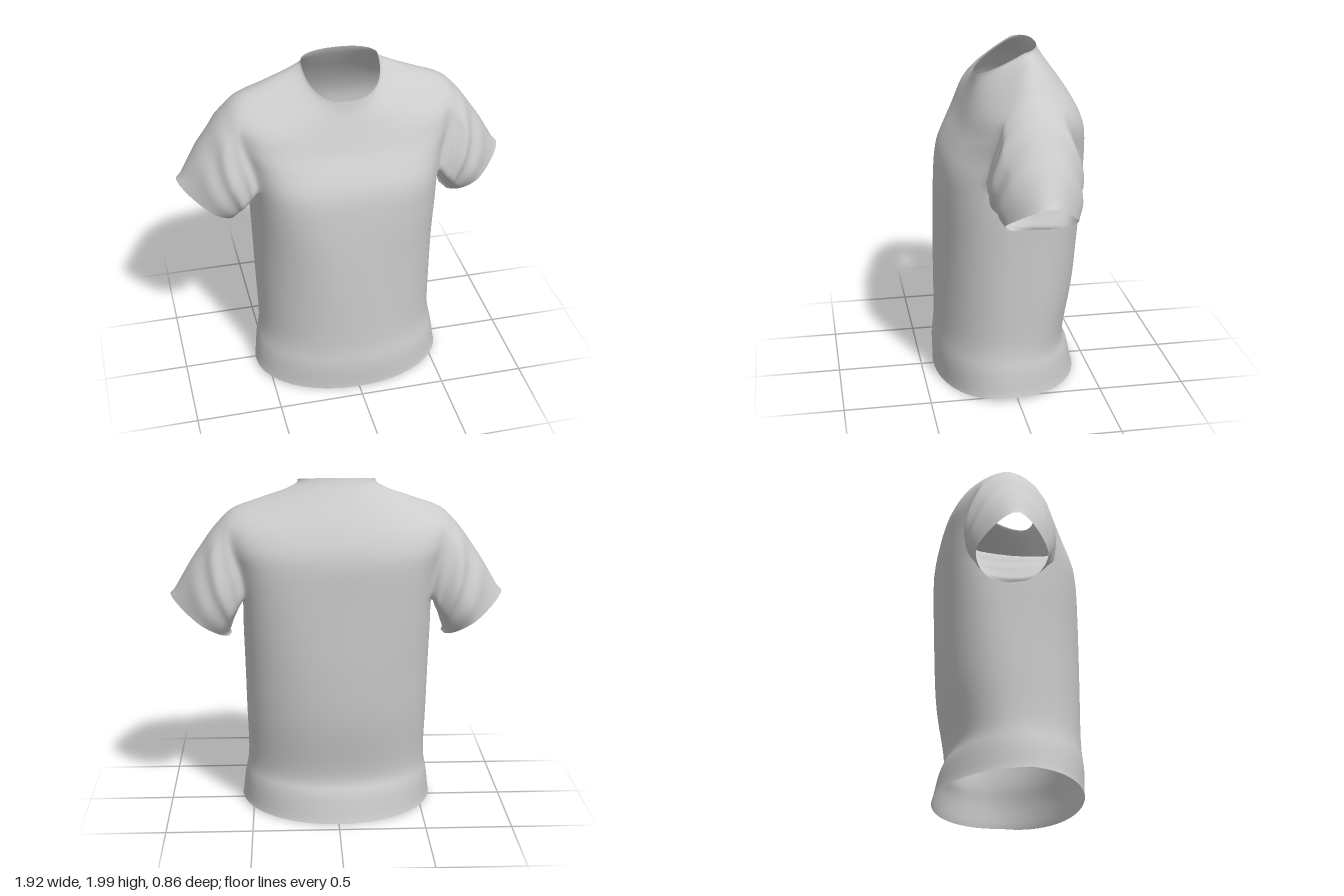
import * as THREE from 'three';

const COLS = 64, SUB = 6, HALF = 4, STEPS = 24; // columns round the body, rows per key ring, armhole half-width, sleeve rings

// Key rings from hem to neck: half width, y/z at the side, front and back, then roundness (1 = ellipse, less = boxier)
const RINGS = [
  [0.57, 0.035, 0.05, 0.01, 0.425, 0.01, -0.425, 0.98],
  [0.555, 0.18, 0.02, 0.17, 0.43, 0.17, -0.39, 0.96],
  [0.53, 0.32, -0.01, 0.32, 0.415, 0.28, -0.355, 0.94],
  [0.535, 0.6, -0.04, 0.6, 0.412, 0.6, -0.41, 0.91],
  [0.54, 0.9, -0.06, 0.9, 0.407, 0.92, -0.43, 0.84],
  [0.545, 1.13, -0.07, 1.14, 0.397, 1.16, -0.432, 0.73],
  [0.545, 1.29, -0.075, 1.34, 0.374, 1.36, -0.432, 0.62],
  [0.57, 1.48, -0.08, 1.46, 0.317, 1.5, -0.432, 0.6],
  [0.62, 1.68, -0.08, 1.55, 0.264, 1.6, -0.42, 0.64],
  [0.62, 1.82, -0.06, 1.64, 0.225, 1.7, -0.378, 0.72],
  [0.45, 1.885, -0.07, 1.72, 0.193, 1.8, -0.317, 0.8],
  [0.31, 1.93, -0.09, 1.775, 0.173, 1.89, -0.252, 0.85],
  [0.235, 1.96, -0.09, 1.812, 0.165, 1.96, -0.205, 0.87],
  [0.22, 1.98, -0.09, 1.84, 0.16, 2.0, -0.187, 0.87],
];
const ROWS = (RINGS.length - 1) * SUB;
const LOW = 6 * SUB, HIGH = 9 * SUB; // armhole rows

// Catmull-Rom blend of the key rings at a row
function ringAt(row) {
  const s = Math.min(Math.floor(row / SUB), RINGS.length - 2), t = row / SUB - s;
  const key = (i) => RINGS[THREE.MathUtils.clamp(i, 0, RINGS.length - 1)];
  return RINGS[0].map((_, n) => {
    const a = key(s - 1)[n], b = key(s)[n], c = key(s + 1)[n], d = key(s + 2)[n];
    return b + 0.5 * t * (c - a + t * (2 * a - 5 * b + 4 * c - d + t * (3 * (b - c) + d - a)));
  });
}

function bodyPoint(row, col) {
  const [w, ys, zs, yf, zf, yb, zb, power] = ringAt(row);
  const rounded = (v) => Math.sign(v) * Math.pow(Math.abs(v), power);
  const th = (col / COLS) * Math.PI * 2;
  const f = rounded(Math.cos(th)), a = Math.abs(f);
  const x = w * rounded(Math.sin(th));
  const y = ys + ((f > 0 ? yf : yb) - ys) * a;
  const z = zs + ((f > 0 ? zf : zb) - zs) * a;
  // Soft drape of the cloth
  const drape = 0.004 * Math.sin(Math.PI * row / ROWS) * Math.sin(9 * x + 4 * y) * f;
  return new THREE.Vector3(x, y, z + drape);
}

// Sleeve surface from an armhole point (t = 0) to the tilted cuff (t = 1)
function sleevePoint(p, side, t) {
  let c = (p.z + 0.08) / 0.21, s = (p.y - 1.555) / 0.265;
  const r = Math.hypot(c, s);
  c /= r; s /= r;
  const up = Math.max(0, s);
  // The cuff narrows towards its upper, outer end and sags at front and back
  const cuff = new THREE.Vector3(
    side * (0.785 + 0.175 * s), 1.208 + 0.122 * s - 0.02 * Math.abs(c), -0.085 + 0.2 * c * (1 - 0.38 * up));
  const mid = p.clone().add(cuff).multiplyScalar(0.5);
  mid.add(new THREE.Vector3(-side * 0.03 * up, 0.02 + 0.1 * up, 0.1 * c));
  const q = p.clone().multiplyScalar((1 - t) ** 2)
    .addScaledVector(mid, 2 * t * (1 - t)).addScaledVector(cuff, t * t);
  // Folds gathered on the front and back of the sleeve
  const fold = 0.013 * Math.sin(Math.PI * t) * Math.sin(17 * t + 2.5 * s) * Math.abs(c);
  q.z += fold * Math.sign(c);
  q.x += side * fold * 0.5;
  return q;
}

// Relax the surface so that the sleeves blend into the body
function relax(points, faces, pinned, passes) {
  const near = points.map(() => new Set());
  for (let i = 0; i < faces.length; i += 3)
    for (let k = 0; k < 3; k++) {
      const a = faces[i + k], b = faces[i + (k + 1) % 3];
      near[a].add(b);
      near[b].add(a);
    }
  for (let n = 0; n < passes; n++) {
    const next = points.map((p, i) => {
      if (pinned.has(i) || near[i].size === 0) return p.clone();
      const avg = new THREE.Vector3();
      near[i].forEach((j) => avg.add(points[j]));
      return avg.divideScalar(near[i].size).lerp(p, 0.5);
    });
    next.forEach((p, i) => points[i].copy(p));
  }
}

export function createModel() {
  const group = new THREE.Group();
  group.name = 'tShirt';
  const cloth = new THREE.MeshStandardMaterial({ color: 0xcccccc, side: THREE.DoubleSide });
  cloth.name = 'light grey cloth';

  const points = [], pinned = new Set();
  const parts = { body: [], collar: [], leftSleeve: [], rightSleeve: [] };
  const id = (row, col) => row * COLS + ((col + COLS) % COLS);
  const quad = (list, a, b, c, d) => list.push(a, b, c, a, c, d);

  // Body rings, with an armhole left open on each side and the collar on top
  for (let r = 0; r <= ROWS; r++)
    for (let c = 0; c < COLS; c++) {
      if (r === 0 || r === ROWS) pinned.add(points.length);
      points.push(bodyPoint(r, c));
    }
  const inHole = (r, c) => r >= LOW && r < HIGH &&
    [COLS / 4, COLS * 3 / 4].some((m) => c >= m - HALF && c < m + HALF);
  for (let r = 0; r < ROWS; r++) {
    const list = r < ROWS - SUB ? parts.body : parts.collar;
    for (let c = 0; c < COLS; c++)
      if (!inHole(r, c)) quad(list, id(r, c), id(r, c + 1), id(r + 1, c + 1), id(r + 1, c));
  }

  // Sleeves grow out of the armhole edges
  for (const side of [1, -1]) {
    const m = side > 0 ? COLS / 4 : COLS * 3 / 4, loop = [];
    for (let c = m - HALF; c < m + HALF; c++) loop.push(id(LOW, c));
    for (let r = LOW; r < HIGH; r++) loop.push(id(r, m + HALF));
    for (let c = m + HALF; c > m - HALF; c--) loop.push(id(HIGH, c));
    for (let r = HIGH; r > LOW; r--) loop.push(id(r, m - HALF));
    const list = side > 0 ? parts.leftSleeve : parts.rightSleeve;
    let last = loop;
    for (let s = 1; s <= STEPS; s++) {
      const ring = loop.map((i) => points.push(sleevePoint(points[i], side, s / STEPS)) - 1);
      ring.forEach((v, k) => {
        const n = (k + 1) % ring.length;
        quad(list, last[k], last[n], ring[n], v);
      });
      last = ring;
    }
    last.forEach((i) => pinned.add(i));
  }

  const all = Object.values(parts).flat();
  relax(points, all, pinned, 4);

  // Shared positions and normals keep the shading smooth across the seams
  const whole = new THREE.BufferGeometry().setFromPoints(points);
  whole.setIndex(all);
  whole.computeVertexNormals();
  for (const [name, index] of Object.entries(parts)) {
    const g = new THREE.BufferGeometry();
    g.setAttribute('position', whole.attributes.position);
    g.setAttribute('normal', whole.attributes.normal);
    g.setIndex(index);
    const mesh = new THREE.Mesh(g, cloth);
    mesh.name = name;
    group.add(mesh);
  }
  return group;
}
